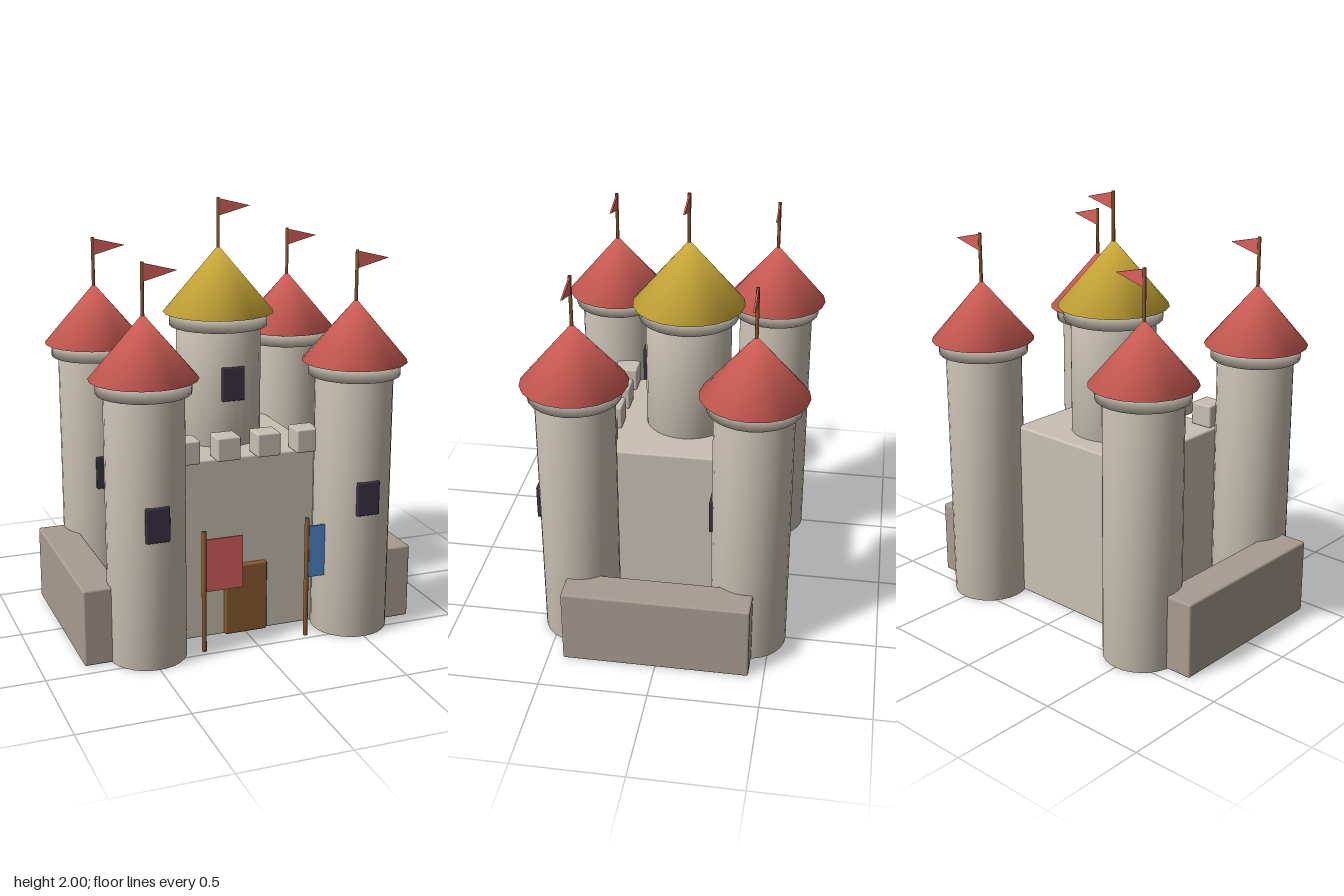
import * as THREE from 'three';
import { mergeVertices } from 'three/addons/utils/BufferGeometryUtils.js';
import { RoundedBoxGeometry } from 'three/addons/geometries/RoundedBoxGeometry.js';

const paint = (name, color) => Object.assign(new THREE.MeshStandardMaterial({ color }), { name });

export function createModel() {
  const stone = paint('stone', 0xc9c0b2);
  const darkStone = paint('dark stone', 0xa89c90);
  const red = paint('red', 0xd9625a);
  const gold = paint('gold', 0xd6b33c);
  const blue = paint('blue', 0x4f86cf);
  const wood = paint('wood', 0x8b5a32);
  const glass = paint('dark window', 0x3b3444);

  const castle = new THREE.Group();
  castle.name = 'castle';

  const add = (parent, name, geometry, material, x, y, z) => {
    const mesh = new THREE.Mesh(geometry, material);
    mesh.name = name;
    mesh.position.set(x, y, z);
    parent.add(mesh);
    return mesh;
  };

  // Softly shaded round part standing between two heights
  const round = (parent, name, material, rTop, rBottom, y0, y1, sides = 20, x = 0, z = 0) => {
    let g = new THREE.CylinderGeometry(rTop, rBottom, y1 - y0, sides);
    g.deleteAttribute('normal');
    g.deleteAttribute('uv');
    g = mergeVertices(g, 1e-4);
    g.computeVertexNormals();
    return add(parent, name, g, material, x, (y0 + y1) / 2, z);
  };

  // Box with slightly eased edges standing between two heights
  const block = (parent, name, material, w, d, y0, y1, x, z, ease = 0.01) =>
    add(parent, name, new RoundedBoxGeometry(w, y1 - y0, d, 2, ease), material, x, (y0 + y1) / 2, z);

  // Pole with a triangular flag flying toward +x
  const flag = (parent, y0, y1) => {
    round(parent, 'flagPole', wood, 0.008, 0.008, y0 - 0.02, y1, 8);
    const shape = new THREE.Shape();
    shape.moveTo(0.004, y1 - 0.005);
    shape.lineTo(0.004, y1 - 0.083);
    shape.lineTo(0.156, y1 - 0.043);
    shape.closePath();
    add(parent, 'flag', new THREE.ExtrudeGeometry(shape, { depth: 0.008, bevelEnabled: false }), red, 0, 0, -0.004);
  };

  // Tower: shaft, collar, cone roof, window and flag
  const tower = (name, x, z, o) => {
    const g = new THREE.Group();
    g.name = name;
    g.position.set(x, 0, z);
    castle.add(g);
    round(g, 'shaft', stone, o.r, o.r, o.base, o.top, 28);
    round(g, 'collar', stone, o.r + 0.031, o.r + 0.031, o.top, o.top + 0.064, 24);
    round(g, 'roof', o.roof, 0, o.roofR, o.top + 0.062, o.apex, 20);
    block(g, 'window', glass, 0.11, 0.03, o.sill, o.sill + 0.16, 0, o.r - 0.008, 0.006);
    flag(g, o.apex, o.flagTop);
  };

  // Keep with its battlements and door
  block(castle, 'keep', stone, 0.72, 0.65, 0, 0.865, 0, -0.003);
  for (let i = 0; i < 4; i++) {
    block(castle, 'merlon', stone, 0.112, 0.112, 0.865, 0.975, (i - 1.5) * 0.194, 0.318, 0.008);
  }
  block(castle, 'door', wood, 0.21, 0.05, 0.003, 0.345, 0, 0.32, 0.01);

  // Central tower
  tower('centralTower', 0, -0.035, {
    r: 0.2, base: 0.8, top: 1.41, apex: 1.78, roofR: 0.26, roof: gold, sill: 1.085, flagTop: 2,
  });

  // Corner towers and low side walls
  for (const sx of [-1, 1]) {
    const side = sx > 0 ? 'left' : 'right';
    for (const sz of [-1, 1]) {
      tower(side + (sz > 0 ? 'FrontTower' : 'BackTower'), sx * 0.502, sz * 0.396, {
        r: 0.179, base: 0, top: 1.228, apex: 1.573, roofR: 0.241, roof: red, sill: 0.6, flagTop: 1.793,
      });
    }
    block(castle, side + 'Wall', darkStone, 0.175, 0.86, 0, 0.36, sx * 0.718, 0);
  }

  // Standing banners before the keep
  for (const [name, x, cloth] of [['redBanner', -0.253, red], ['blueBanner', 0.25, blue]]) {
    const g = new THREE.Group();
    g.name = name;
    g.position.set(x, 0, 0.464);
    castle.add(g);
    round(g, 'pole', wood, 0.011, 0.011, 0, 0.58, 10);
    add(g, 'cloth', new THREE.BoxGeometry(0.178, 0.25, 0.009), cloth, 0.097, 0.415, 0);
  }

  return castle;
}
